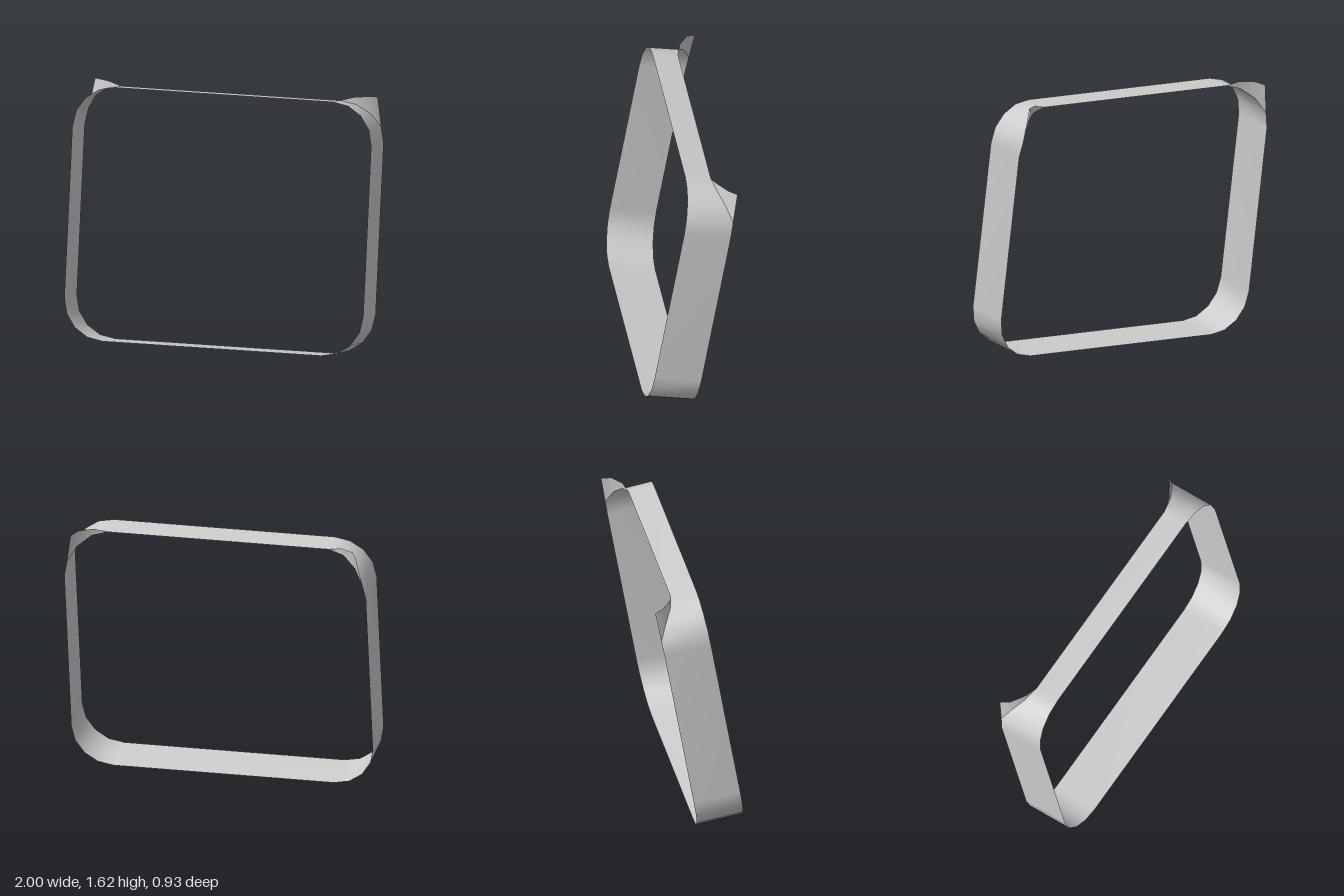
import * as THREE from 'three';

const HALF_W = 0.97, HALF_H = 0.797, RADIUS = 0.26, DEPTH = 0.3, STEPS = 4;
// Depth of the band along each top corner, from the side round to the top
const TOP_DEPTHS = [DEPTH, DEPTH, 0.245, 0.19, 0.165];

const material = new THREE.MeshStandardMaterial({ color: 0xcccccc, side: THREE.DoubleSide });

// Point on a rounded corner; sx, sy pick the corner, i runs from side to top/bottom
function cornerPoint(sx, sy, i) {
  const t = (i / STEPS) * Math.PI / 2;
  return [
    sx * (HALF_W - RADIUS + RADIUS * Math.cos(t)),
    sy * (HALF_H - RADIUS + RADIUS * Math.sin(t)),
    sy > 0 ? -TOP_DEPTHS[i] : -DEPTH,
  ];
}

// Surface between two rows of points
function strip(name, rowA, rowB, closed) {
  const n = rowA.length, index = [];
  for (let i = 0; i < (closed ? n : n - 1); i++) {
    const j = (i + 1) % n;
    index.push(i, j, n + j, i, n + j, n + i);
  }
  const geometry = new THREE.BufferGeometry();
  geometry.setAttribute('position', new THREE.Float32BufferAttribute([...rowA, ...rowB].flat(), 3));
  geometry.setIndex(index);
  geometry.computeVertexNormals();
  const mesh = new THREE.Mesh(geometry, material);
  mesh.name = name;
  return mesh;
}

export function createModel() {
  const frame = new THREE.Group();
  frame.name = 'tiltedFrame';

  // Rounded band, counter-clockwise, with a shallower top
  const back = [];
  for (const [sx, sy] of [[1, 1], [-1, 1], [-1, -1], [1, -1]]) {
    for (let k = 0; k <= STEPS; k++) back.push(cornerPoint(sx, sy, sx * sy > 0 ? k : STEPS - k));
  }
  const front = back.map(([x, y]) => [x, y, 0]);
  frame.add(strip('roundedBand', front, back, true));

  // Raised tabs on the two top back corners
  const tabEdge = [[0.918, 0.825, -0.3], [0.885, 0.83, -0.24], [0.795, 0.822, -0.183], [0.71, 0.797, -0.165]];
  for (const side of [1, -1]) {
    const crease = [1, 2, 3, 4].map((i) => cornerPoint(side, 1, i));
    const edge = tabEdge.map(([x, y, z]) => [side * x, y, z]);
    const name = side > 0 ? 'leftCornerTab' : 'rightCornerTab';
    frame.add(side > 0 ? strip(name, crease, edge, false) : strip(name, edge, crease, false));
  }

  // Lean back and turn
  frame.rotation.set(THREE.MathUtils.degToRad(-10), THREE.MathUtils.degToRad(12), 0, 'YXZ');
  frame.position.set(0.03, 0.838, 0.155);

  const model = new THREE.Group();
  model.name = 'model';
  model.add(frame);
  return model;
}
